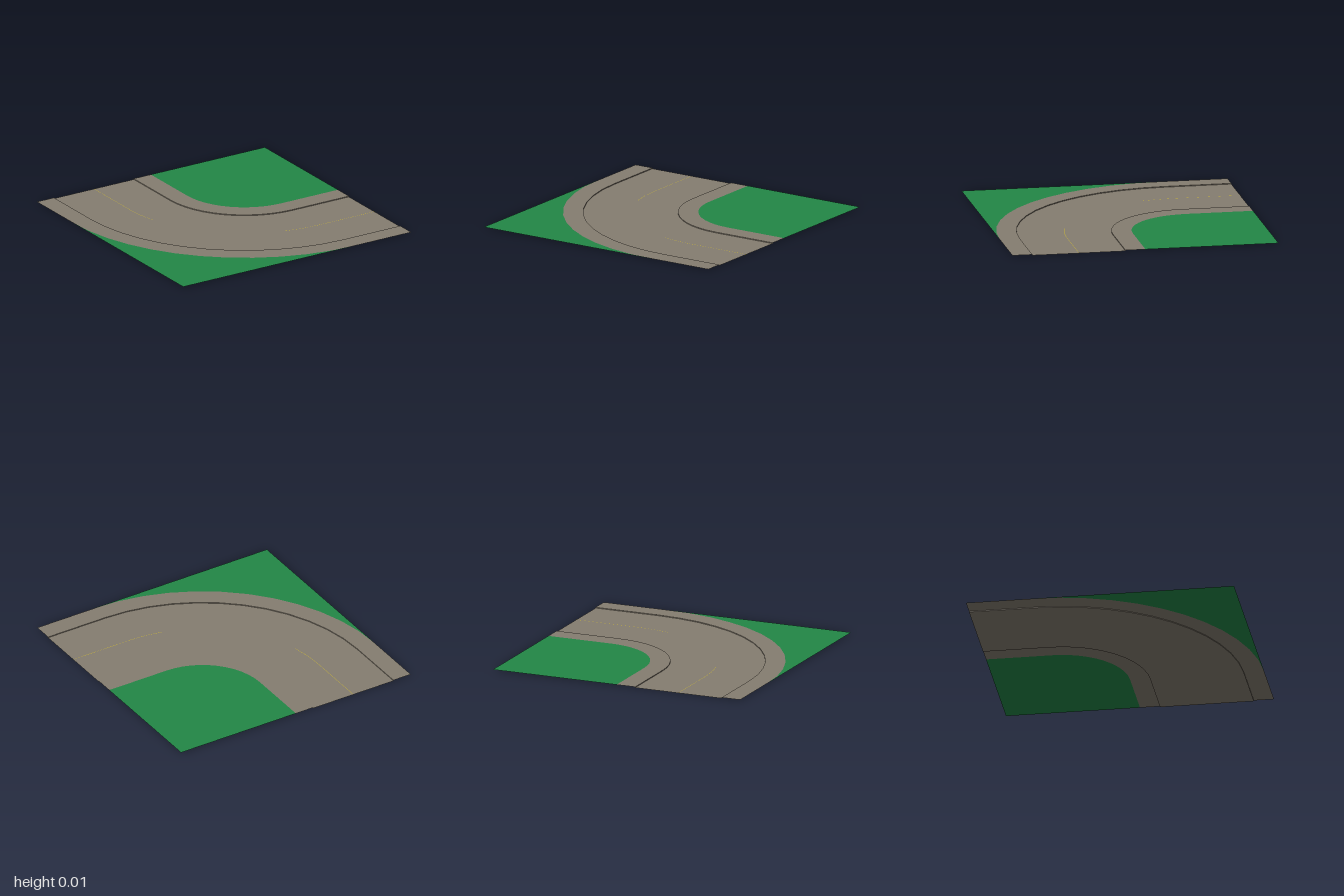
import * as THREE from 'three';

const CX = 0.5, CZ = -0.5;   // centre of the bend
const KERB = 0.006;          // height of pavement and grass above the road
const SEGMENTS = 12;

// Points [x, z] along the bend at radius r, with straight runs to the tile edges
function bendPath(r, from = 0, to = 90, startRun = true, endRun = true) {
  const points = [];
  if (startRun) points.push([CX - r, -1]);
  const steps = Math.max(2, Math.round((SEGMENTS * (to - from)) / 90));
  for (let i = 0; i <= steps; i++) {
    const a = THREE.MathUtils.degToRad(from + ((to - from) * i) / steps);
    points.push([CX - r * Math.cos(a), CZ + r * Math.sin(a)]);
  }
  if (endRun) points.push([1, CZ + r]);
  return points;
}

// Strip joining an inner path at height yIn to an outer path at height yOut
function strip(inner, yIn, outer, yOut) {
  const pos = [], index = [];
  inner.forEach(([x, z], i) => {
    pos.push(x, yIn, z, outer[i][0], yOut, outer[i][1]);
    if (i > 0) {
      const a = 2 * (i - 1);
      index.push(a, a + 1, a + 2, a + 1, a + 3, a + 2);
    }
  });
  const g = new THREE.BufferGeometry();
  g.setAttribute('position', new THREE.Float32BufferAttribute(pos, 3));
  g.setIndex(index);
  g.computeVertexNormals();
  return g;
}

// Level sheet bounded by a path and one tile corner
function cornerSheet(path, corner, y) {
  const outline = [...path, corner].map(([x, z]) => new THREE.Vector2(x, -z));
  return new THREE.ShapeGeometry(new THREE.Shape(outline)).rotateX(-Math.PI / 2).translate(0, y, 0);
}

export function createModel() {
  const model = new THREE.Group();
  model.name = 'roadBendTile';

  const material = (name, color) =>
    new THREE.MeshStandardMaterial({ name, color, side: THREE.DoubleSide });
  const paving = material('paving grey', 0x857d70);
  const grass = material('grass green', 0x228746);
  const paint = material('line yellow', 0xc8b432);

  const add = (name, geometry, mat) => {
    const mesh = new THREE.Mesh(geometry, mat);
    mesh.name = name;
    model.add(mesh);
  };
  const band = (name, r1, y1, r2, y2) => add(name, strip(bendPath(r1), y1, bendPath(r2), y2), paving);

  // Sunken roadway between two raised pavements
  band('road', 0.65, 0, 1.35, 0);
  band('innerKerb', 0.65, KERB, 0.65, 0);
  band('outerKerb', 1.35, 0, 1.35, KERB);
  band('innerPavement', 0.5, KERB, 0.65, KERB);
  band('outerPavement', 1.35, KERB, 1.5, KERB);

  // Grass corners
  add('innerGrass', cornerSheet(bendPath(0.5), [1, -1], KERB), grass);
  add('outerGrass', cornerSheet(bendPath(1.5), [-1, 1], KERB), grass);

  // Hairline centre marking on each approach, running a little into the bend
  const line = (name, ...range) =>
    add(name, strip(bendPath(0.9985, ...range), 0.001, bendPath(1.0015, ...range), 0.001), paint);
  line('backCentreLine', 0, 15, true, false);
  line('sideCentreLine', 75, 90, false, true);

  return model;
}
